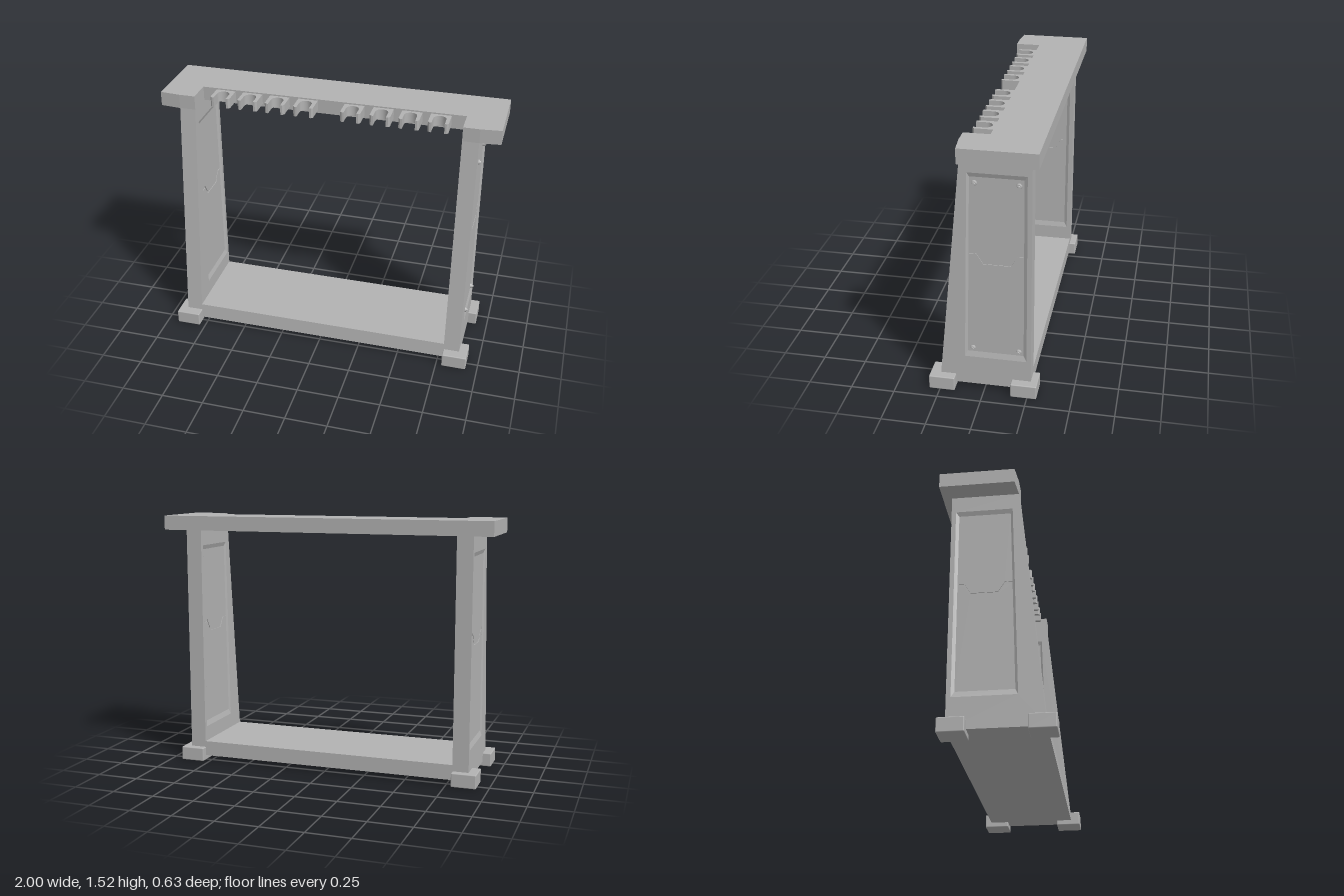
import * as THREE from 'three';
import { RoundedBoxGeometry } from 'three/addons/geometries/RoundedBoxGeometry.js';

const OUT = 0.88, IN = 0.785;      // outer and inner faces of the legs
const PANEL = 0.009, CORE = 0.013; // depth of the panel surface and of the groove floor

const toShape = (pts) => new THREE.Shape(pts.map(([a, b]) => new THREE.Vector2(a, b)));

// extrude a [z, y] outline across x, centred on x = cx
function sideExtrude(shape, cx, width) {
  const g = new THREE.ExtrudeGeometry(shape, { depth: width, bevelEnabled: false });
  g.rotateY(-Math.PI / 2);
  g.translate(cx + width / 2, 0, 0);
  return g;
}

// extrude an [x, z] outline downwards from y = top
function flatExtrude(shape, top, height) {
  const g = new THREE.ExtrudeGeometry(shape, { depth: height, bevelEnabled: false, curveSegments: 10 });
  g.rotateX(Math.PI / 2);
  g.translate(0, top, 0);
  return g;
}

const legOutline = [[-0.265, 0.03], [0.257, 0.03], [0.116, 1.436], [-0.265, 1.436]];
const recessOuter = [[-0.24, 0.21], [0.11, 0.21], [0.08, 1.34], [-0.24, 1.34]];
const recessInner = [[-0.222, 0.243], [0.095, 0.243], [0.068, 1.315], [-0.222, 1.315]];
// stepped seam across the panel, front to back
const seam = (dy) => [[0.079, 0.88], [0.037, 0.88], [0, 0.82], [-0.15, 0.82], [-0.186, 0.88], [-0.222, 0.88]]
  .map(([z, y]) => [z, y + dy]);

// sloped border running from the leg surface in to the panel
function bevelRing(x, n) {
  const pos = [];
  for (let i = 0; i < 4; i++) {
    const j = (i + 1) % 4, xi = x - n * PANEL;
    const a = [x, recessOuter[i][1], recessOuter[i][0]], b = [x, recessOuter[j][1], recessOuter[j][0]];
    const c = [xi, recessInner[j][1], recessInner[j][0]], d = [xi, recessInner[i][1], recessInner[i][0]];
    const tris = n > 0 ? [a, c, b, a, d, c] : [a, b, c, a, c, d];
    tris.forEach((p) => pos.push(...p));
  }
  const g = new THREE.BufferGeometry();
  g.setAttribute('position', new THREE.Float32BufferAttribute(pos, 3));
  g.computeVertexNormals();
  return g;
}

export function createModel() {
  const model = new THREE.Group();
  model.name = 'displayRack';
  const grey = new THREE.MeshStandardMaterial({ color: 0xb2b2b2, side: THREE.DoubleSide });
  grey.name = 'plain grey';
  const add = (name, geometry, parent = model) => {
    const m = new THREE.Mesh(geometry, grey);
    m.name = name;
    parent.add(m);
    return m;
  };

  // top slab with a wide notch at the front
  const slab = toShape([[-1, -0.317], [1, -0.317], [1, 0.105], [0.88, 0.116], [IN, 0.116], [IN, -0.03],
    [-IN, -0.03], [-IN, 0.116], [-0.88, 0.116], [-1, 0.105]]);
  add('topSlab', flatExtrude(slab, 1.52, 0.085));

  // base shelf between the legs
  add('baseShelf', sideExtrude(toShape([[-0.265, 0.03], [0.257, 0.03], [0.248, 0.12], [-0.265, 0.12]]), 0, IN * 2));

  // U-shaped holders in the notch
  const w = 0.059, s = 0.037, back = -0.035, front = 0.085, r = 0.01;
  const hook = new THREE.Shape();
  hook.moveTo(-w, back);
  hook.lineTo(w, back);
  hook.lineTo(w, front - r);
  hook.lineTo(w - r, front);
  hook.lineTo(s, front);
  hook.lineTo(s, 0.025);
  hook.absarc(0, 0.025, s, 0, -Math.PI, true);
  hook.lineTo(-s, front);
  hook.lineTo(-w + r, front);
  hook.lineTo(-w, front - r);
  hook.closePath();
  const hookGeometry = flatExtrude(hook, 1.512, 0.06);
  for (const side of [-1, 1])
    for (const x of [0.139, 0.31, 0.476, 0.642]) add('holder', hookGeometry).position.x = side * x;

  // legs, each with a recessed panel on both faces
  const frame = toShape(legOutline);
  frame.holes.push(new THREE.Path(toShape(recessOuter).getPoints()));
  const upper = toShape([recessInner[3], recessInner[2], ...seam(0)]);
  const lower = toShape([recessInner[0], recessInner[1], ...seam(-0.016)]);

  for (const side of [-1, 1]) {
    const leg = new THREE.Group();
    leg.name = side > 0 ? 'leftLeg' : 'rightLeg';
    model.add(leg);
    add('legCore', sideExtrude(toShape(legOutline), side * (OUT + IN) / 2, OUT - IN - 2 * CORE), leg);
    for (const [x, n] of [[side * OUT, side], [side * IN, -side]]) {
      add('legFrame', sideExtrude(frame, x - n * CORE / 2, CORE), leg);
      add('panelBorder', bevelRing(x, n), leg);
      const px = x - n * (PANEL + CORE) / 2;
      add('upperPanel', sideExtrude(upper, px, CORE - PANEL), leg);
      add('lowerPanel', sideExtrude(lower, px, CORE - PANEL), leg);
    }

    // feet at the leg corners
    for (const z of [0.238, -0.23])
      add('foot', new RoundedBoxGeometry(0.147, 0.083, 0.148, 2, 0.006), leg)
        .position.set(side * 0.8575, 0.0415, z);
  }

  // bolts on the outer left panel
  for (const [z, y] of [[0.042, 1.28], [-0.195, 1.28], [0.065, 0.267], [-0.195, 0.267]]) {
    const bolt = new THREE.Group();
    bolt.name = 'bolt';
    bolt.position.set(OUT - PANEL, y, z);
    bolt.rotation.z = -Math.PI / 2;
    model.add(bolt);
    add('boltWasher', new THREE.CylinderGeometry(0.014, 0.016, 0.014, 20), bolt).position.y = 0.007;
    add('boltHead', new THREE.CylinderGeometry(0.007, 0.009, 0.006, 20), bolt).position.y = 0.017;
  }
  return model;
}
